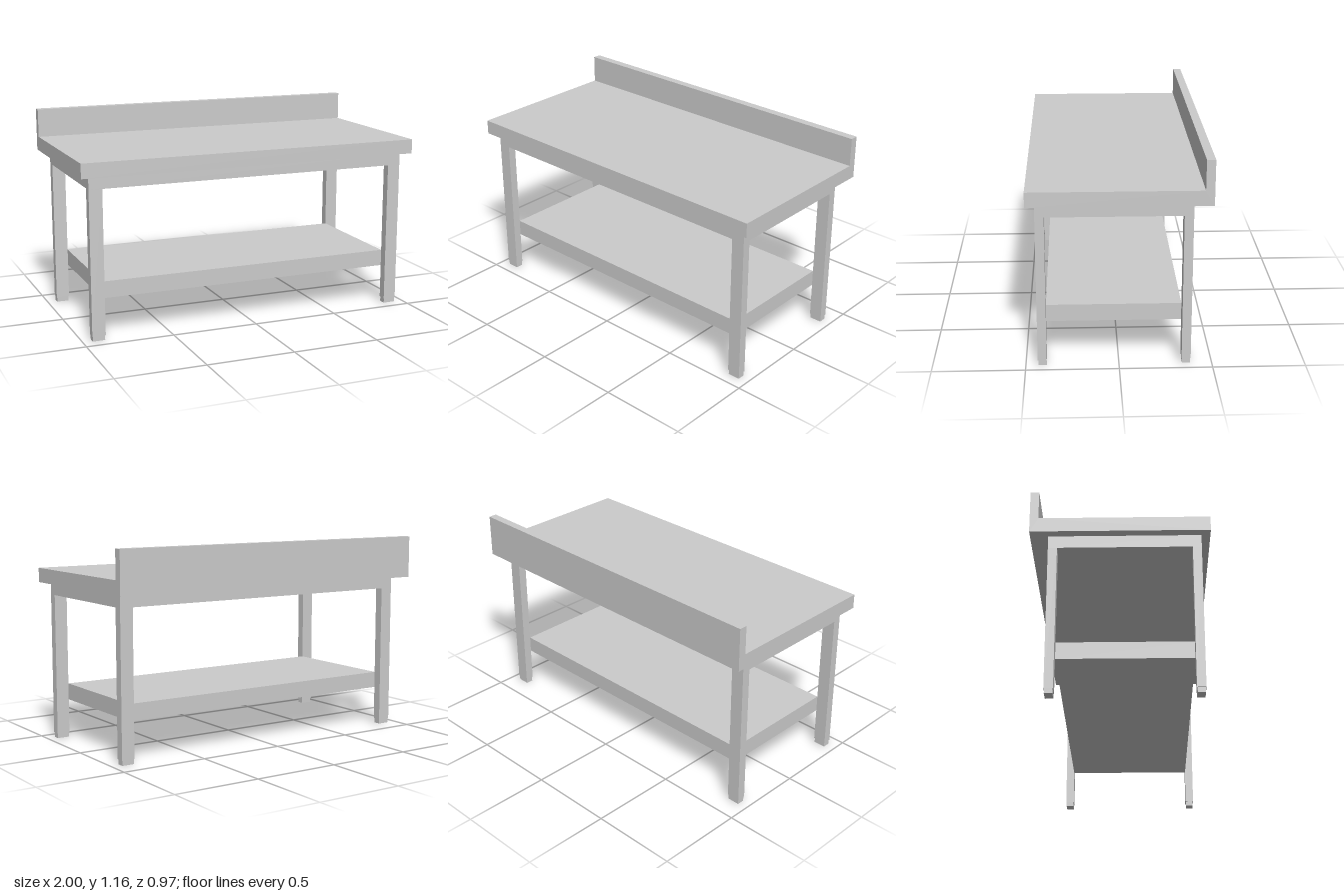
import * as THREE from 'three';

const steel = new THREE.MeshStandardMaterial({ color: 0xcccccc });

// Box given by its minimum and maximum corners
function block(name, [x0, y0, z0], [x1, y1, z1]) {
  const mesh = new THREE.Mesh(new THREE.BoxGeometry(x1 - x0, y1 - y0, z1 - z0), steel);
  mesh.position.set((x0 + x1) / 2, (y0 + y1) / 2, (z0 + z1) / 2);
  mesh.name = name;
  return mesh;
}

export function createModel() {
  const model = new THREE.Group();
  model.name = 'workTable';

  const inX = 0.872, outX = 0.948;               // leg extents across the width
  const frontIn = 0.388, frontOut = 0.436;       // front legs in depth
  const backIn = -0.337, backOut = -0.386;       // back legs in depth
  const apronY = 0.846, topY = 0.917, footY = 0.028;

  // Worktop and upstand: one L-shaped profile (depth, height) run along x
  const profile = new THREE.Shape([
    [-0.484, topY], [0.484, topY], [0.484, 1], [-0.437, 1], [-0.437, 1.163], [-0.484, 1.163],
  ].map(([z, y]) => new THREE.Vector2(-z, y)));
  const topGeometry = new THREE.ExtrudeGeometry(profile, { depth: 2, bevelEnabled: false });
  topGeometry.translate(0, 0, -1).rotateY(Math.PI / 2);
  const worktop = new THREE.Mesh(topGeometry, steel);
  worktop.name = 'worktopWithUpstand';
  model.add(worktop);

  // Apron under the worktop, flush with the legs
  model.add(block('apron', [-outX, apronY, backOut], [outX, topY, frontOut]));

  // Lower shelf, fitted between the inner corners of the legs
  model.add(block('shelf', [-inX, 0.225, backIn], [inX, 0.32, frontIn]));

  // Legs with slightly inset feet
  const inset = 0.003;
  for (const side of [-1, 1]) {
    const x0 = side > 0 ? inX : -outX, x1 = side > 0 ? outX : -inX;
    for (const [label, z0, z1] of [['front', frontIn, frontOut], ['back', backOut, backIn]]) {
      const name = label + (side > 0 ? 'Left' : 'Right');
      model.add(block(name + 'Leg', [x0, footY, z0], [x1, apronY, z1]));
      model.add(block(name + 'Foot', [x0 + inset, 0, z0 + inset], [x1 - inset, footY, z1 - inset]));
    }
  }
  return model;
}
